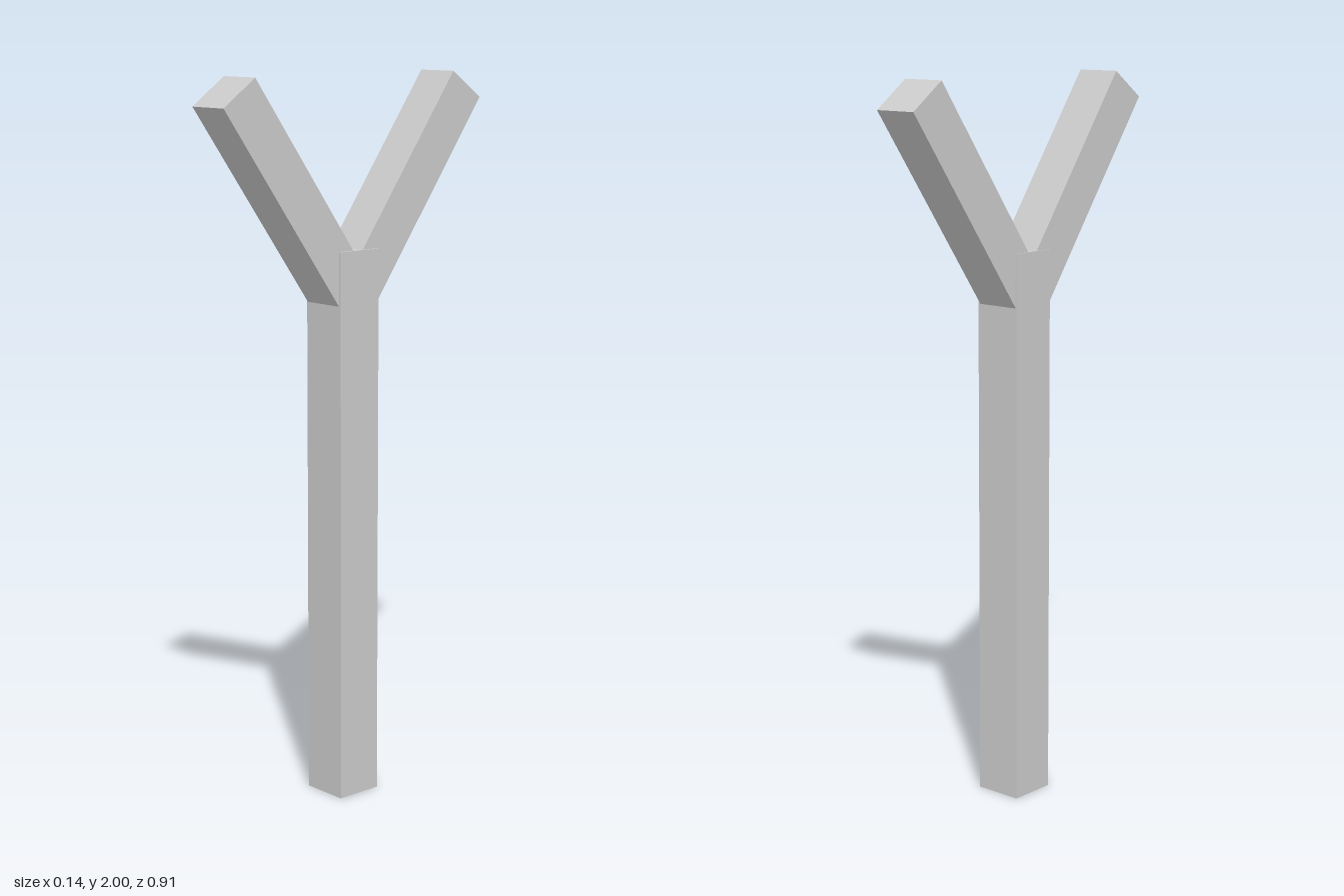
import * as THREE from 'three';

export function createModel() {
  const group = new THREE.Group();
  const material = new THREE.MeshStandardMaterial({ color: 0xcccccc, flatShading: true });

  // Upright square post
  const postHeight = 1.535;
  const post = new THREE.Mesh(new THREE.BoxGeometry(0.137, postHeight, 0.137), material);
  post.name = 'post';
  post.position.y = postHeight / 2;
  group.add(post);

  // Two square arms forking to front and back, rooted inside the post
  const armWidth = 0.127, armLength = 0.69;
  const tilt = THREE.MathUtils.degToRad(35.7);
  const armGeometry = new THREE.BoxGeometry(armWidth, armLength, armWidth);
  armGeometry.translate(0, -armLength / 2, 0); // pivot at the tip
  for (const side of [1, -1]) {
    const arm = new THREE.Mesh(armGeometry, material);
    arm.name = side > 0 ? 'frontArm' : 'backArm';
    arm.position.set(-0.002, 1.963, side * 0.403);
    arm.rotation.x = side * tilt;
    group.add(arm);
  }
  return group;
}
